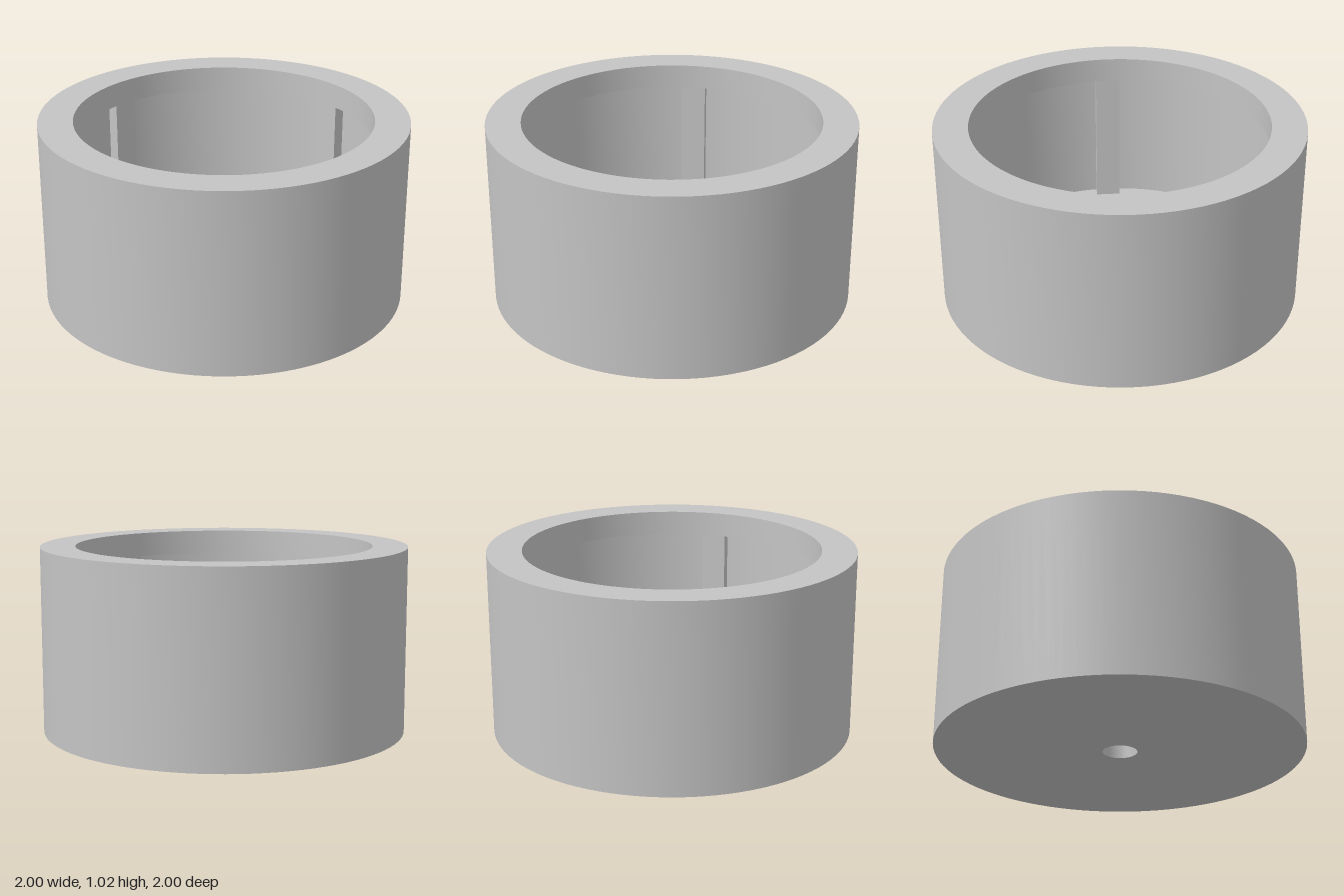
import * as THREE from 'three';
import { toCreasedNormals } from 'three/addons/utils/BufferGeometryUtils.js';

export function createModel() {
  const model = new THREE.Group();
  model.name = 'roundHousing';
  const grey = new THREE.MeshStandardMaterial({ color: 0xc4c4c4 });
  grey.name = 'light grey';

  const height = 1.017;
  const floorTop = 0.095;
  const lipBottom = 0.88;
  const holeRadius = 0.094;
  const lipRadius = 0.81;
  const cavityRadius = 0.9;

  // Cup with an inward lip, an undercut cavity and a centre hole in the floor
  const profile = [
    [holeRadius, 0], [1, 0], [1, height], [lipRadius, height],
    [lipRadius, lipBottom], [cavityRadius, lipBottom],
    [cavityRadius, floorTop], [holeRadius, floorTop], [holeRadius, 0],
  ].map(([r, y]) => new THREE.Vector2(r, y));
  const cupGeometry = toCreasedNormals(new THREE.LatheGeometry(profile, 96), Math.PI / 6);
  const cup = new THREE.Mesh(cupGeometry, grey);
  cup.name = 'cup';
  model.add(cup);

  // Upright ribs on the cavity wall, one on each diagonal
  const ribInner = 0.83;
  const ribOuter = 0.93;
  const ribGeometry = new THREE.BoxGeometry(0.14, lipBottom - floorTop, ribOuter - ribInner);
  ribGeometry.translate(0, (lipBottom + floorTop) / 2, (ribInner + ribOuter) / 2);
  for (let i = 0; i < 4; i++) {
    const rib = new THREE.Mesh(ribGeometry, grey);
    rib.name = 'innerRib' + (i + 1);
    rib.rotation.y = Math.PI / 4 + (i * Math.PI) / 2;
    model.add(rib);
  }

  return model;
}
